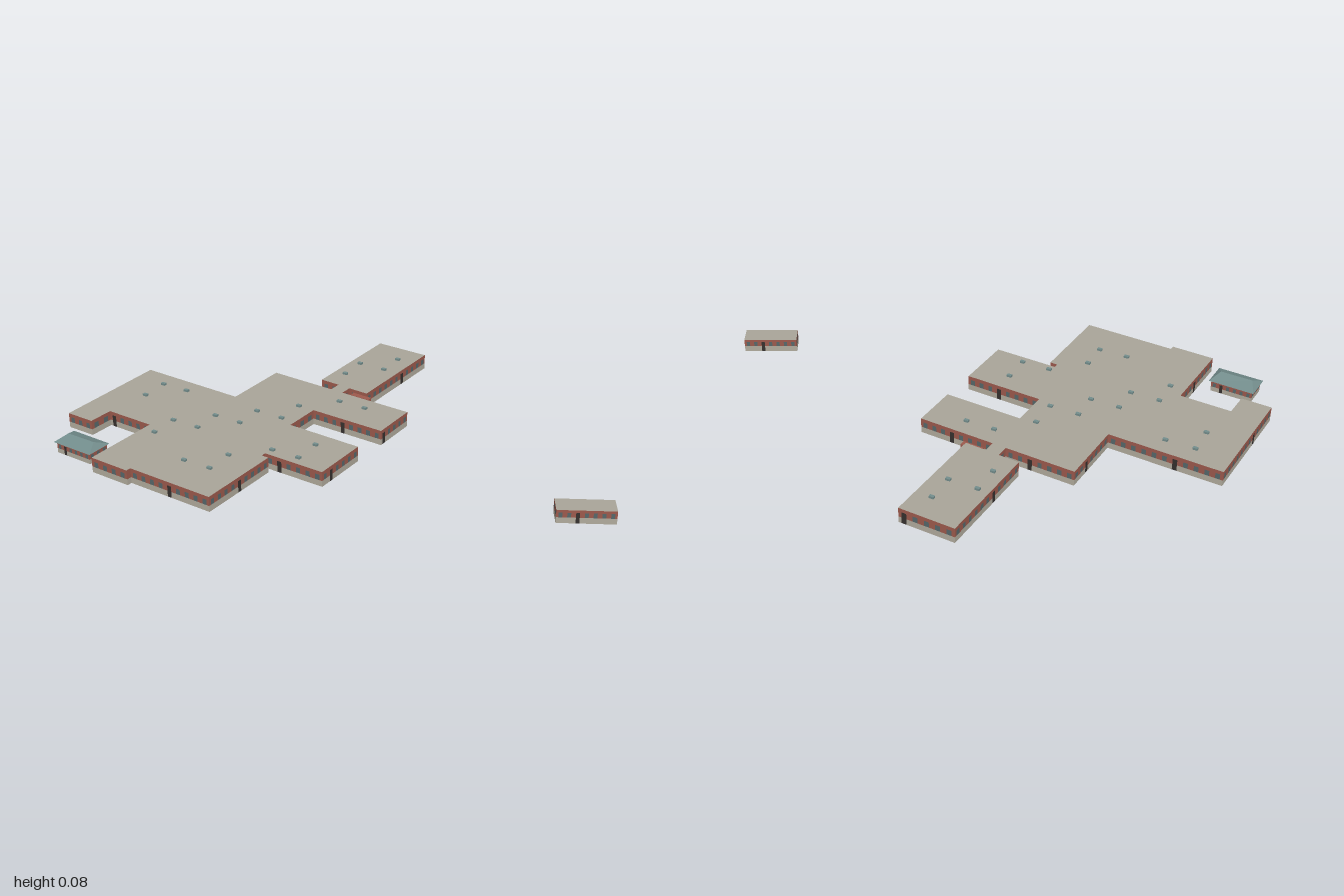
import * as THREE from 'three';

const mat = (name, color) => {
  const m = new THREE.MeshStandardMaterial({ color, side: THREE.DoubleSide });
  m.name = name;
  return m;
};

export function createModel() {
  const root = new THREE.Group();
  root.name = 'buildingComplex';
  const M = {
    roof: mat('roofGrey', 0xa8a498),
    stone: mat('paleStone', 0xb0aa9c),
    brick: mat('redBrick', 0x9c594c),
    glass: mat('slateGlass', 0x56676a),
    dark: mat('darkDoor', 0x35302e),
    teal: mat('tealMetal', 0x728c8b),
  };

  const add = (parent, geo, material, name) => {
    const m = new THREE.Mesh(geo, material);
    m.name = name;
    parent.add(m);
    return m;
  };

  // Turns a list of corner positions (three per triangle) into a flat-shaded geometry
  const fromTriangles = (pos) => {
    const g = new THREE.BufferGeometry();
    g.setAttribute('position', new THREE.Float32BufferAttribute(pos, 3));
    g.computeVertexNormals();
    return g;
  };
  const quad = (out, a, b, c, d) => out.push(...a, ...b, ...c, ...a, ...c, ...d);

  // Open-bottomed shell: stone plinth, window band with brick piers, brick lintel
  function addWalls(parent, outline, levels, bay) {
    const [base, sill, head, top] = levels;
    const faces = { stone: [], brick: [], glass: [], dark: [] };
    outline.forEach((a, i) => {
      const b = outline[(i + 1) % outline.length];
      const length = Math.hypot(b[0] - a[0], b[1] - a[1]);
      const at = (t, y) => [a[0] + (b[0] - a[0]) * t, y, a[1] + (b[1] - a[1]) * t];
      const panel = (kind, t0, t1, y0, y1) =>
        quad(faces[kind], at(t0, y0), at(t0, y1), at(t1, y1), at(t1, y0));
      panel('brick', 0, 1, head, top);
      const n = Math.floor(length / bay);
      if (n < 1) {
        panel('stone', 0, 1, base, sill);
        panel('brick', 0, 1, sill, head);
        return;
      }
      for (let k = 0; k < n; k++) {
        const t0 = k / n, t1 = (k + 1) / n;
        const w0 = t0 + 0.28 / n, w1 = t1 - 0.28 / n;
        const door = n > 4 && k % 9 === 4;
        panel('brick', t0, w0, sill, head);
        panel('brick', w1, t1, sill, head);
        panel(door ? 'dark' : 'glass', w0, w1, sill, head);
        panel('stone', t0, w0, base, sill);
        panel('stone', w1, t1, base, sill);
        panel(door ? 'dark' : 'stone', w0, w1, base, sill);
      }
    });
    const names = { stone: 'plinth', brick: 'brickWalls', glass: 'windows', dark: 'doors' };
    for (const k in faces) if (faces[k].length) add(parent, fromTriangles(faces[k]), M[k], names[k]);
  }

  function addFlatRoof(parent, outline, y) {
    const shape = new THREE.Shape(outline.map(([x, z]) => new THREE.Vector2(x, -z)));
    const roof = add(parent, new THREE.ShapeGeometry(shape).rotateX(-Math.PI / 2), M.roof, 'flatRoof');
    roof.position.y = y;
  }

  const group = (name) => {
    const g = new THREE.Group();
    g.name = name;
    root.add(g);
    return g;
  };

  // Main building with its wings and the linked north wing
  const main = group('mainBuilding');
  const mainOutline = [
    [-0.54, -0.23], [-0.275, -0.217], [-0.273, -0.265], [-0.352, -0.27],
    [-0.333, -0.685], [-0.12, -0.678], [-0.14, -0.255], [-0.22, -0.26],
    [-0.223, -0.214], [0.07, -0.2], [0.063, -0.02], [-0.237, -0.033],
    [-0.244, 0.11], [0.054, 0.125], [0.044, 0.345], [-0.2, 0.335],
    [-0.2, 0.354], [-0.172, 0.356], [-0.187, 0.68], [-0.535, 0.664],
    [-0.536, 0.683], [-0.7, 0.675], [-0.685, 0.375], [-0.88, 0.366],
    [-0.886, 0.463], [-1.0, 0.458], [-0.98, 0.006], [-0.552, 0.026],
  ];
  addWalls(main, mainOutline, [0.012, 0.035, 0.056, 0.07], 0.036);
  addFlatRoof(main, mainOutline, 0.07);

  // Brick entrance canopy beside the link
  const porch = add(main, new THREE.BoxGeometry(0.08, 0.045, 0.022), M.brick, 'entrancePorch');
  porch.position.set(-0.16, 0.0345, -0.246);
  porch.rotation.y = -0.04;

  // Roof vents on a regular grid: each row is z followed by its x positions
  const ventRows = [
    [-0.58, -0.19], [-0.47, -0.19, -0.3], [-0.36, -0.3], [-0.14, -0.19, -0.08],
    [-0.03, -0.3], [0.085, -0.85, -0.74, -0.41, -0.3],
    [0.195, -0.85, -0.52, -0.41, -0.08], [0.305, -0.63, -0.52, -0.19, -0.08],
    [0.415, -0.63, -0.3], [0.525, -0.41, -0.3],
  ];
  const ventGeo = new THREE.BoxGeometry(0.018, 0.008, 0.012);
  for (const [z, ...xs] of ventRows)
    for (const x of xs) add(main, ventGeo, M.teal, 'roofVent').position.set(x, 0.074, z);

  // Small detached hall with a hipped metal roof
  const hall = group('hippedHall');
  addWalls(hall, [[-0.9, 0.54], [-0.742, 0.548], [-0.746, 0.637], [-0.904, 0.629]],
    [0.012, 0.03, 0.046, 0.056], 0.026);
  const e = [[-0.908, 0.055, 0.533], [-0.734, 0.055, 0.542], [-0.738, 0.055, 0.645], [-0.912, 0.055, 0.637]];
  const r0 = [-0.884, 0.076, 0.588], r1 = [-0.762, 0.076, 0.592];
  const hip = [];
  quad(hip, e[1], e[0], r0, r1);
  quad(hip, e[3], e[2], r1, r0);
  hip.push(...e[0], ...e[3], ...r0, ...e[2], ...e[1], ...r1);
  add(hall, fromTriangles(hip), M.teal, 'hippedRoof');

  // Distant outbuilding, turned at an angle
  const out = group('outbuilding');
  const outOutline = [[0.783, 0.062], [0.962, -0.033], [0.998, 0.032], [0.82, 0.127]];
  addWalls(out, outOutline, [0, 0.022, 0.04, 0.05], 0.026);
  addFlatRoof(out, outOutline, 0.05);

  return root;
}
